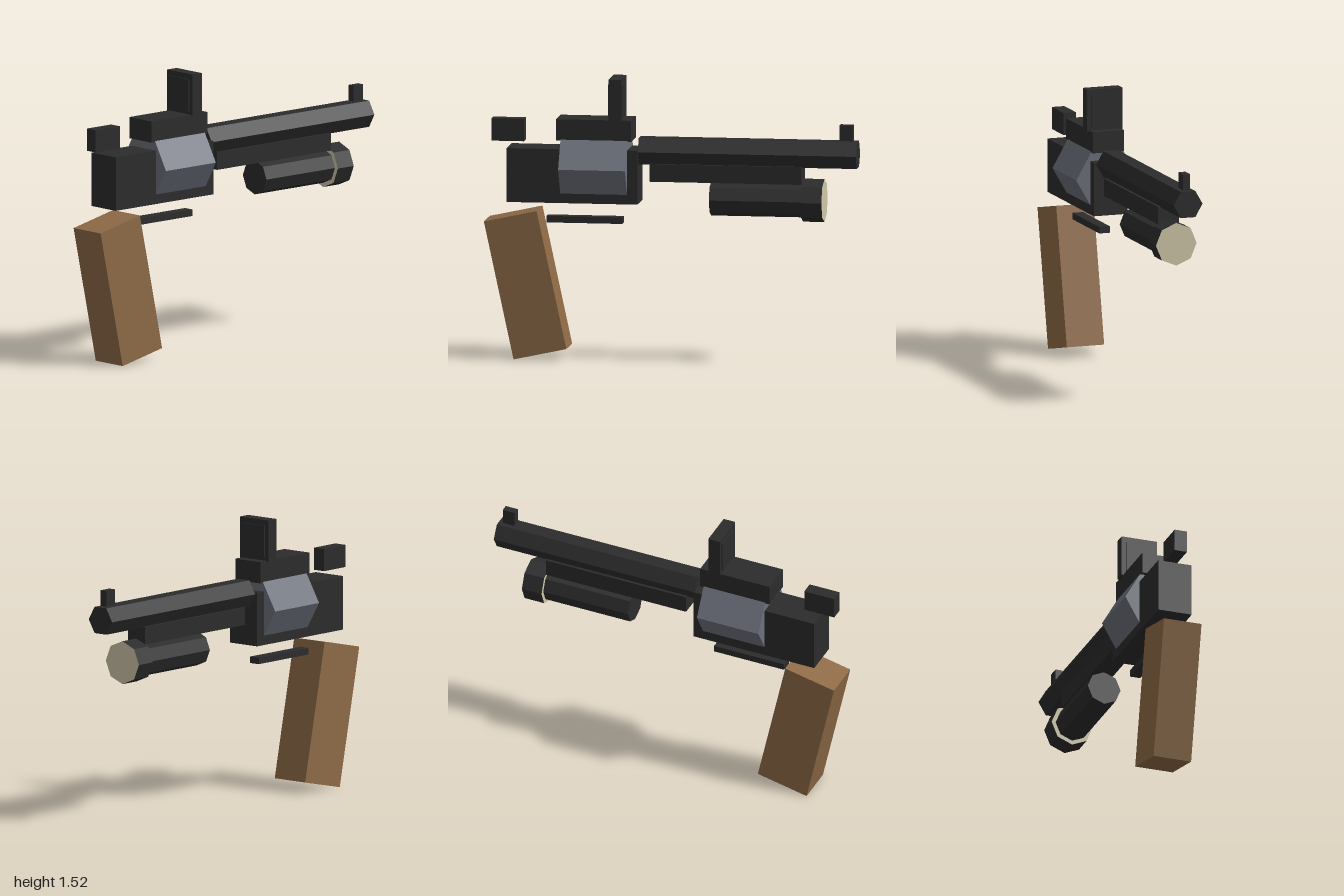
import * as THREE from 'three';

const mat = (name, color) => {
  const m = new THREE.MeshStandardMaterial({ color, flatShading: true });
  m.name = name;
  return m;
};

export function createModel() {
  const gun = new THREE.Group();
  gun.name = 'revolver';
  const black = mat('gunmetalBlack', 0x2c2c2c);
  const steel = mat('steelGrey', 0x6c717b);
  const wood = mat('gripWood', 0x8f6b47);
  const cream = mat('lensCream', 0xcfc7a8);

  const add = (name, geometry, material) => {
    const mesh = new THREE.Mesh(geometry, material);
    mesh.name = name;
    gun.add(mesh);
    return mesh;
  };

  // Box centred on x = 0, given half width and its y and z ranges
  const block = (name, halfX, y0, y1, z0, z1, material = black) =>
    add(name, new THREE.BoxGeometry(halfX * 2, y1 - y0, z1 - z0), material)
      .position.set(0, (y0 + y1) / 2, (z0 + z1) / 2);

  // Prism along z with corners on the x axis
  const prism = (name, radius, sides, y, z0, z1, material = black) =>
    add(name, new THREE.CylinderGeometry(radius, radius, z1 - z0, sides, 1, false, Math.PI / 2)
      .rotateX(Math.PI / 2), material).position.set(0, y, (z0 + z1) / 2);

  // Body and drum
  block('frame', 0.095, 0.85, 1.14, 0.175, 0.88);
  prism('drum', 0.175, 6, 1.04, 0.23, 0.59, steel);
  block('topStrap', 0.088, 1.185, 1.3, 0.21, 0.615);
  block('hammer', 0.035, 1.17, 1.29, 0.795, 0.97);
  block('triggerGuard', 0.03, 0.735, 0.77, 0.265, 0.675);

  // Barrel
  prism('barrel', 0.082, 6, 1.13, -1, 0.175);
  block('underBarrelRail', 0.06, 0.97, 1.065, -0.705, 0.115);
  block('frontSight', 0.02, 1.205, 1.29, -0.975, -0.905);

  // Upright optic with a raised panel on both faces
  block('optic', 0.1, 1.295, 1.52, 0.263, 0.33);
  block('opticPanel', 0.075, 1.32, 1.49, 0.257, 0.336);

  // Lamp under the barrel, pale at both ends of its head
  prism('lampBody', 0.093, 8, 0.88, -0.71, -0.21);
  prism('lampHead', 0.116, 8, 0.88, -0.82, -0.705, [black, cream, cream]);

  // Raked grip
  const grip = add('grip', new THREE.BoxGeometry(0.213, 0.757, 0.291), wood);
  grip.position.set(0, 0.405, 0.778);
  grip.rotation.x = 0.213;

  return gun;
}
